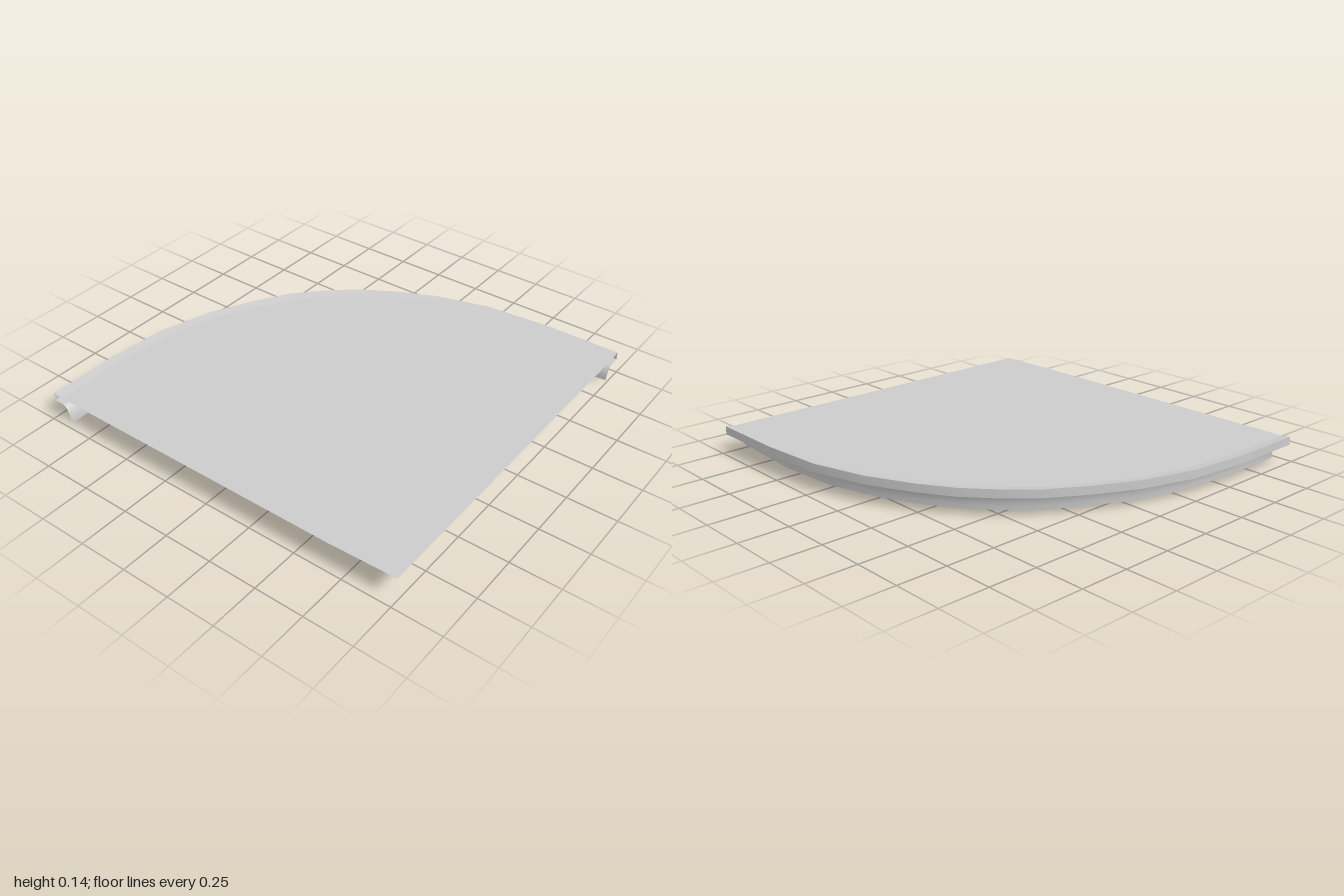
import * as THREE from 'three';

// outer outline of the quarter-round top, from front-right corner to back-left corner [x, z]
const OUTLINE = [
  [-1, 0.97], [-1, 0.59], [-0.97, 0.27], [-0.89, 0], [-0.78, -0.22], [-0.67, -0.4], [-0.55, -0.53],
  [-0.41, -0.655], [-0.24, -0.76], [-0.02, -0.865], [0.26, -0.945], [0.6, -0.972], [1, -0.972],
].map(([x, z]) => new THREE.Vector2(x, z));

// mitred inward direction at each outline point
const INWARD = OUTLINE.map((p, i) => {
  const side = (a, b) => {
    const d = b.clone().sub(a).normalize();
    return new THREE.Vector2(-d.y, d.x);
  };
  const last = OUTLINE.length - 1;
  const n1 = side(OUTLINE[Math.max(i - 1, 0)], OUTLINE[Math.max(i, 1)]);
  const n2 = side(OUTLINE[Math.min(i, last - 1)], OUTLINE[Math.min(i + 1, last)]);
  const m = n1.clone().add(n2).normalize();
  return m.divideScalar(m.dot(n1));
});

const offsetPoint = (i, d) => OUTLINE[i].clone().addScaledVector(INWARD[i], d);

// sweep a profile of [inset, height] points along the outline
function sweep(name, profile, material) {
  const pos = [], idx = [], n = profile.length, last = OUTLINE.length - 1;
  for (let i = 0; i <= last; i++) {
    for (const [d, y] of profile) {
      const p = offsetPoint(i, d);
      // the moulding's lower edge lifts slightly at its far end
      const lift = i === last ? 0.02 * Math.max(0, 1 - y / 0.09) : 0;
      pos.push(p.x, y + lift, p.y);
    }
  }
  for (let i = 0; i < last; i++) {
    for (let j = 0; j < n - 1; j++) {
      const a = i * n + j, b = a + n;
      idx.push(a, b, a + 1, b, b + 1, a + 1);
    }
  }
  const g = new THREE.BufferGeometry();
  g.setAttribute('position', new THREE.Float32BufferAttribute(pos, 3));
  g.setIndex(idx);
  g.computeVertexNormals();
  const mesh = new THREE.Mesh(g, material);
  mesh.name = name;
  return mesh;
}

export function createModel() {
  const group = new THREE.Group();
  group.name = 'quarterRoundTop';
  const material = new THREE.MeshStandardMaterial({ color: 0xcccccc, side: THREE.DoubleSide });

  // flat panel inside the rim
  const outline = OUTLINE.map((_, i) => offsetPoint(i, 0.05));
  outline.push(new THREE.Vector2(1, 0.96), new THREE.Vector2(0.65, 0.97));
  const shape = new THREE.Shape(outline.map(p => new THREE.Vector2(p.x, -p.y)));
  const panelGeo = new THREE.ShapeGeometry(shape);
  panelGeo.rotateX(-Math.PI / 2);
  panelGeo.translate(0, 0.13, 0);
  const panel = new THREE.Mesh(panelGeo, material);
  panel.name = 'panel';
  group.add(panel);

  // rim, creased between its faces
  group.add(sweep('rimTop', [[0.05, 0.13], [0, 0.137]], material));
  group.add(sweep('rimFace', [[0, 0.137], [0, 0.095]], material));
  group.add(sweep('rimUnderside', [[0, 0.095], [0.048, 0.093]], material));

  // concave moulding under the rim
  const cove = [];
  for (let i = 0; i <= 8; i++) {
    const a = (i / 8) * Math.PI / 2;
    cove.push([0.048 + 0.049 * Math.sin(a), 0.093 * Math.cos(a)]);
  }
  group.add(sweep('coveMoulding', cove, material));
  return group;
}
